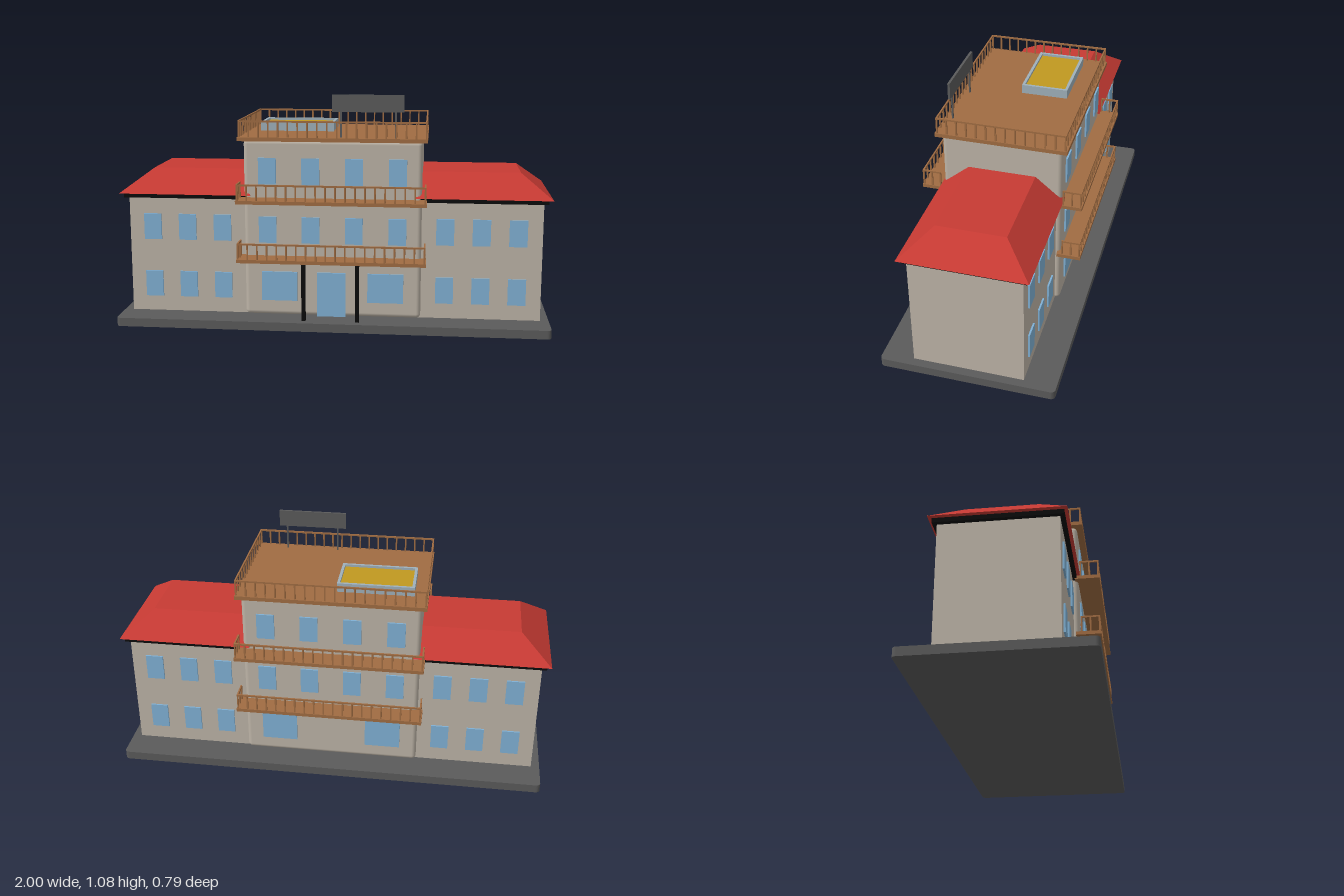
import * as THREE from 'three';
import { RoundedBoxGeometry } from 'three/addons/geometries/RoundedBoxGeometry.js';

const mat = (name, color) => {
  const m = new THREE.MeshStandardMaterial({ color });
  m.name = name;
  return m;
};

export function createModel() {
  const wall = mat('stone wall', 0xbcb3a6);
  const red = mat('red roof', 0xc63a33);
  const grey = mat('dark grey', 0x5a5a5a);
  const black = mat('black trim', 0x0a0a0a);
  const glass = mat('blue glass', 0x80b0d4);
  const wood = mat('brown wood', 0xa06c42);
  const steel = mat('pale steel', 0x9fb0ba);
  const yellow = mat('yellow panel', 0xc09820);

  const model = new THREE.Group();
  model.name = 'building';

  const add = (name, geometry, material, parent = model) => {
    const mesh = new THREE.Mesh(geometry, material);
    mesh.name = name;
    parent.add(mesh);
    return mesh;
  };
  // Box given by its minimum and maximum on each axis
  const box = (name, [x0, x1], [y0, y1], [z0, z1], material, parent, radius = 0) => {
    const size = [x1 - x0, y1 - y0, z1 - z0];
    const geo = radius ? new RoundedBoxGeometry(...size, 3, radius) : new THREE.BoxGeometry(...size);
    geo.translate((x0 + x1) / 2, (y0 + y1) / 2, (z0 + z1) / 2);
    return add(name, geo, material, parent);
  };
  const group = (name) => {
    const g = new THREE.Group();
    g.name = name;
    model.add(g);
    return g;
  };

  // Plinth with slightly rounded corners
  const outline = new THREE.Shape();
  const X = 1, Z = 0.395, R = 0.02;
  outline.absarc(X - R, Z - R, R, 0, Math.PI / 2);
  outline.absarc(-X + R, Z - R, R, Math.PI / 2, Math.PI);
  outline.absarc(-X + R, -Z + R, R, Math.PI, Math.PI * 1.5);
  outline.absarc(X - R, -Z + R, R, Math.PI * 1.5, Math.PI * 2);
  const plinth = new THREE.ExtrudeGeometry(outline, { depth: 0.04, bevelEnabled: false, curveSegments: 4 });
  plinth.rotateX(-Math.PI / 2);
  add('plinth', plinth, grey);

  // Central tower
  box('tower', [-0.41, 0.41], [0.04, 0.868], [-0.273, 0.273], wall, model, 0.02);

  // Side wings with black eaves and hipped roofs
  for (const s of [1, -1]) {
    const wing = group(s > 0 ? 'leftWing' : 'rightWing');
    const span = (a, b) => (s > 0 ? [a, b] : [-b, -a]);
    box('wingWalls', span(0.38, 0.96), [0.04, 0.59], [-0.25, 0.25], wall, wing);
    box('eaves', span(0.38, 0.98), [0.588, 0.609], [-0.268, 0.268], black, wing);
    const roof = new THREE.BoxGeometry(0.62, 0.107, 0.566);
    roof.translate(s * 0.69, 0.6615, 0);
    const p = roof.attributes.position;
    for (let i = 0; i < p.count; i++) {
      if (p.getY(i) < 0.66) continue;
      p.setZ(i, Math.sign(p.getZ(i)) * 0.154);
      if (Math.abs(p.getX(i)) > 0.9) p.setX(i, s * 0.86);
    }
    roof.computeVertexNormals();
    add('hippedRoof', roof, red, wing);
  }

  // Windows, mirrored front to back
  const windows = group('windows');
  const pane = (name, x, w, y0, y1, face, s) => {
    const z = [face - 0.001, face + 0.008];
    box(name, [x - w / 2, x + w / 2], [y0, y1], s > 0 ? z : [-z[1], -z[0]], glass, windows);
  };
  for (const s of [1, -1]) {
    for (const side of [1, -1]) {
      for (const x of [0.518, 0.684, 0.85]) {
        pane('wingWindow', side * x, 0.082, 0.112, 0.235, 0.25, s);
        pane('wingWindow', side * x, 0.082, 0.388, 0.511, 0.25, s);
      }
      for (const x of [0.1, 0.3]) {
        pane('towerWindow', side * x, 0.082, 0.388, 0.511, 0.273, s);
        pane('towerWindow', side * x, 0.082, 0.662, 0.785, 0.273, s);
      }
      pane('groundWindow', side * 0.247, 0.166, 0.112, 0.25, 0.273, s);
    }
  }
  pane('frontDoor', -0.004, 0.134, 0.04, 0.25, 0.273, 1);

  // Railing run between two points: top rail and evenly spaced posts
  const T = 0.007;
  const railing = (parent, [xa, za], [xb, zb], floor, top) => {
    const h = T / 2;
    box('topRail', [Math.min(xa, xb) - h, Math.max(xa, xb) + h], [top - 0.008, top],
      [Math.min(za, zb) - h, Math.max(za, zb) + h], wood, parent);
    const n = Math.max(1, Math.round(Math.hypot(xb - xa, zb - za) / 0.0445));
    for (let i = 0; i <= n; i++) {
      const x = xa + ((xb - xa) * i) / n, z = za + ((zb - za) * i) / n;
      box('post', [x - h, x + h], [floor, top - 0.004], [z - h, z + h], wood, parent);
    }
  };

  // Balconies on two levels, front and back
  for (const s of [1, -1]) {
    for (const floor of [0.326, 0.6]) {
      const balcony = group(s > 0 ? 'frontBalcony' : 'backBalcony');
      box('deck', [-0.433, 0.433], [floor - 0.016, floor], s > 0 ? [0.26, 0.37] : [-0.37, -0.26], wood, balcony);
      const top = floor + 0.075, x = 0.426, z = s * 0.364;
      railing(balcony, [-x, z], [x, z], floor, top);
      for (const e of [-x, x]) railing(balcony, [e, s * 0.285], [e, z], floor, top);
    }
  }

  // Porch columns
  for (const x of [-0.125, 0.122]) {
    box('porchColumn', [x - 0.009, x + 0.009], [0.04, 0.312], [0.342, 0.36], black);
  }

  // Roof terrace
  const terrace = group('roofTerrace');
  box('terraceDeck', [-0.433, 0.433], [0.863, 0.881], [-0.299, 0.299], wood, terrace);
  for (const s of [1, -1]) {
    railing(terrace, [-0.426, s * 0.289], [0.426, s * 0.289], 0.88, 0.957);
    railing(terrace, [s * 0.426, -0.289], [s * 0.426, 0.289], 0.88, 0.957);
  }

  // Framed rooftop panel
  const skylight = group('rooftopPanel');
  const [sx0, sx1, sz0, sz1, f] = [-0.37, -0.018, -0.192, 0.025, 0.013];
  for (const z of [sz0, sz1 - f]) box('frameLong', [sx0, sx1], [0.88, 0.923], [z, z + f], steel, skylight);
  for (const x of [sx0, sx1 - f]) box('frameShort', [x, x + f], [0.88, 0.923], [sz0 + f, sz1 - f], steel, skylight);
  box('panel', [sx0 + f, sx1 - f], [0.88, 0.912], [sz0 + f, sz1 - f], yellow, skylight);

  // Blank roof sign on two legs
  const sign = group('roofSign');
  box('signBoard', [0, 0.325], [0.997, 1.075], [0.257, 0.268], grey, sign);
  for (const x of [0.04, 0.288]) box('signLeg', [x - 0.004, x + 0.004], [0.88, 1], [0.259, 0.266], grey, sign);

  return model;
}
